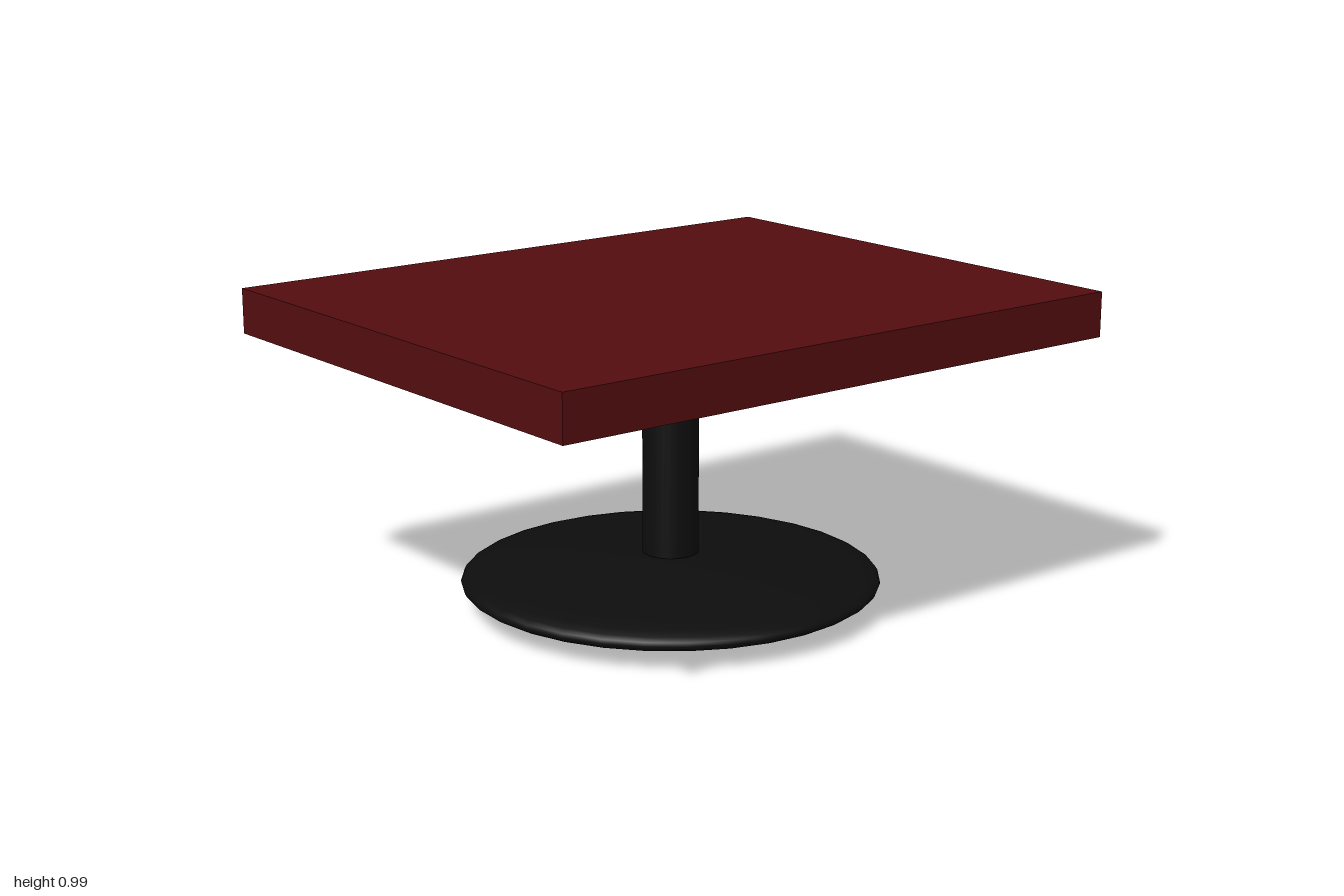
import * as THREE from 'three';

export function createModel() {
  const group = new THREE.Group();
  const wood = new THREE.MeshStandardMaterial({ color: 0x540d10 });
  const metal = new THREE.MeshStandardMaterial({ color: 0x0d0d0d });

  const add = (name, geometry, material, y) => {
    const mesh = new THREE.Mesh(geometry, material);
    mesh.name = name;
    mesh.position.y = y;
    group.add(mesh);
  };

  // Thick rectangular top
  add('tableTop', new THREE.BoxGeometry(2, 0.14, 1.648), wood, 0.915);

  // Round post between base and top
  const postBottom = 0.162, postTop = 0.845;
  add('post', new THREE.CylinderGeometry(0.087, 0.087, postTop - postBottom, 32), metal, (postBottom + postTop) / 2);

  // Flattened ellipsoid base
  const base = new THREE.SphereGeometry(1, 32, 24).scale(0.65, 0.08, 0.65);
  add('base', base, metal, 0.08);

  return group;
}
